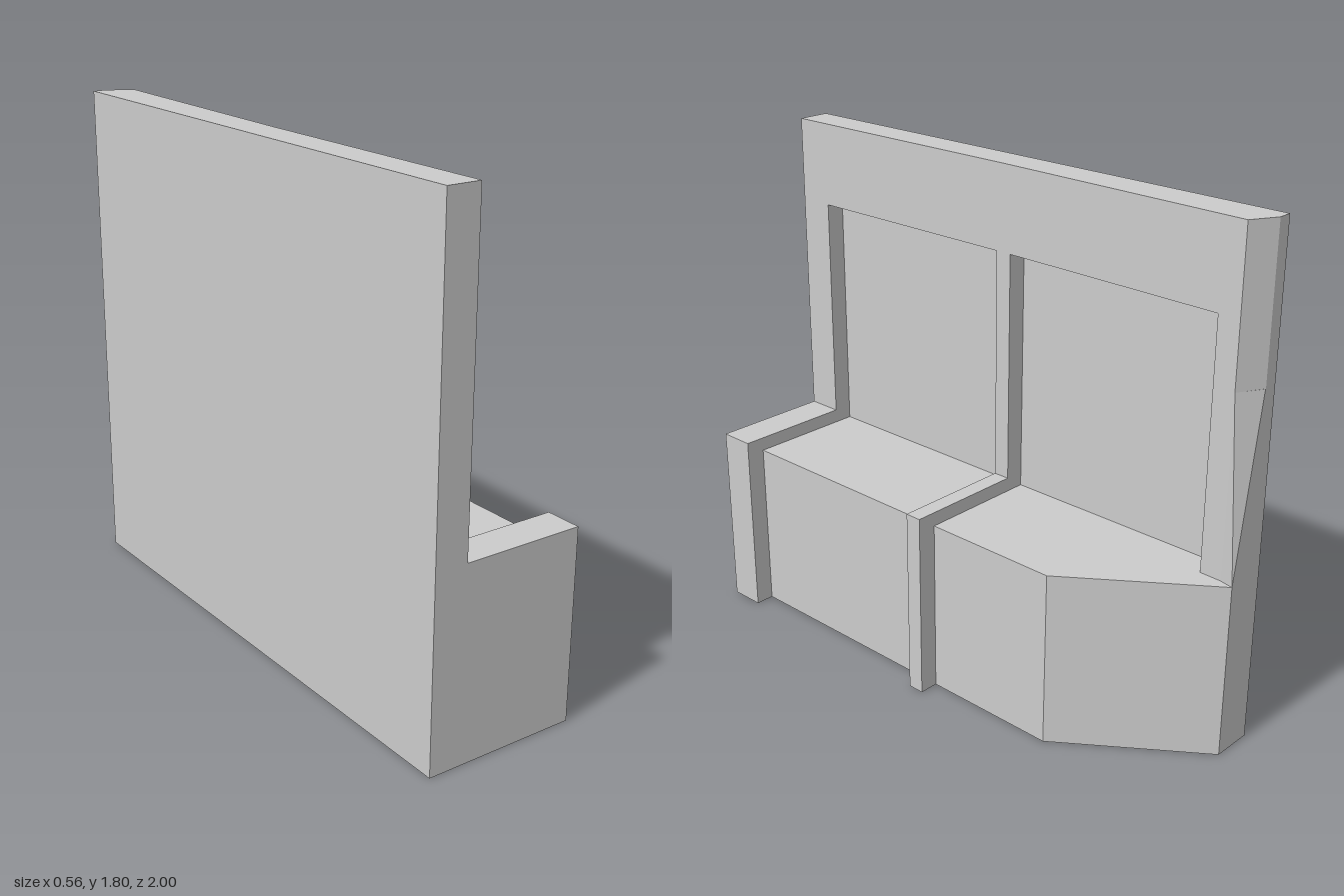
import * as THREE from 'three';

const material = new THREE.MeshStandardMaterial({ color: 0xcccccc, flatShading: true });

// Upright prism from a plan outline of [x, z] points
function prism(points, y0, y1) {
  const shape = new THREE.Shape(points.map(([x, z]) => new THREE.Vector2(x, -z)));
  const geometry = new THREE.ExtrudeGeometry(shape, { depth: y1 - y0, bevelEnabled: false });
  return geometry.rotateX(-Math.PI / 2).translate(0, y0, 0);
}

const BACK = -0.28, RECESS = -0.23, SEAT_Y = 0.63, ARM_Y = 0.68, PANEL_Y = 1.5, TOP = 1.8;

// The backrest face swells slightly towards the rear end
const faceX = (z) => -0.16 + 0.02 * Math.max(0, -z / 0.95);

export function createModel() {
  const group = new THREE.Group();
  const add = (name, geometry) => {
    const mesh = new THREE.Mesh(geometry, material);
    mesh.name = name;
    group.add(mesh);
  };
  const block = (name, x0, x1, y0, y1, z0, z1) =>
    add(name, prism([[x0, z0], [x1, z0], [x1, z1], [x0, z1]], y0, y1));

  // Bench base with its slanted rear end
  add('seatBase', prism([[BACK, 0.87], [0.21, 0.87], [0.21, -0.53], [-0.13, -1], [BACK, -1]], 0, SEAT_Y));

  // Seat dividers
  block('endDivider', BACK, 0.28, 0, ARM_Y, 0.87, 1);
  block('middleDivider', RECESS, 0.28, 0, ARM_Y, -0.03, 0.03);

  // Backrest: recessed panel, then the frame around it
  block('backPanel', BACK, RECESS, SEAT_Y, TOP, -1, 1);
  add('topRail', prism([
    [RECESS, 1], [faceX(1), 1], [faceX(0), 0], [faceX(-0.95), -0.95], [RECESS, -1],
  ], PANEL_Y, TOP));
  block('frontPost', RECESS, faceX(1), ARM_Y, PANEL_Y, 0.87, 1);
  block('middlePost', RECESS, faceX(0), ARM_Y, PANEL_Y, -0.03, 0.03);

  // Rear post: chamfered above, its corner flaring out to the seat below
  const rear = [[RECESS, -0.87], [faceX(-0.87), -0.87], [faceX(-0.95), -0.95]];
  add('rearPostUpper', prism([...rear, [RECESS, -1]], 1.27, PANEL_Y));
  const flare = prism([...rear, [RECESS + 0.002, -1], [RECESS, -1]], SEAT_Y, 1.27);
  const p = flare.attributes.position;
  for (let i = 0; i < p.count; i++) {
    const atCorner = Math.abs(p.getX(i) - RECESS - 0.002) < 5e-4 && p.getZ(i) < -0.99;
    if (atCorner && p.getY(i) < SEAT_Y + 0.01) p.setX(i, -0.13);
  }
  flare.computeVertexNormals();
  add('rearPostLower', flare);

  return group;
}
